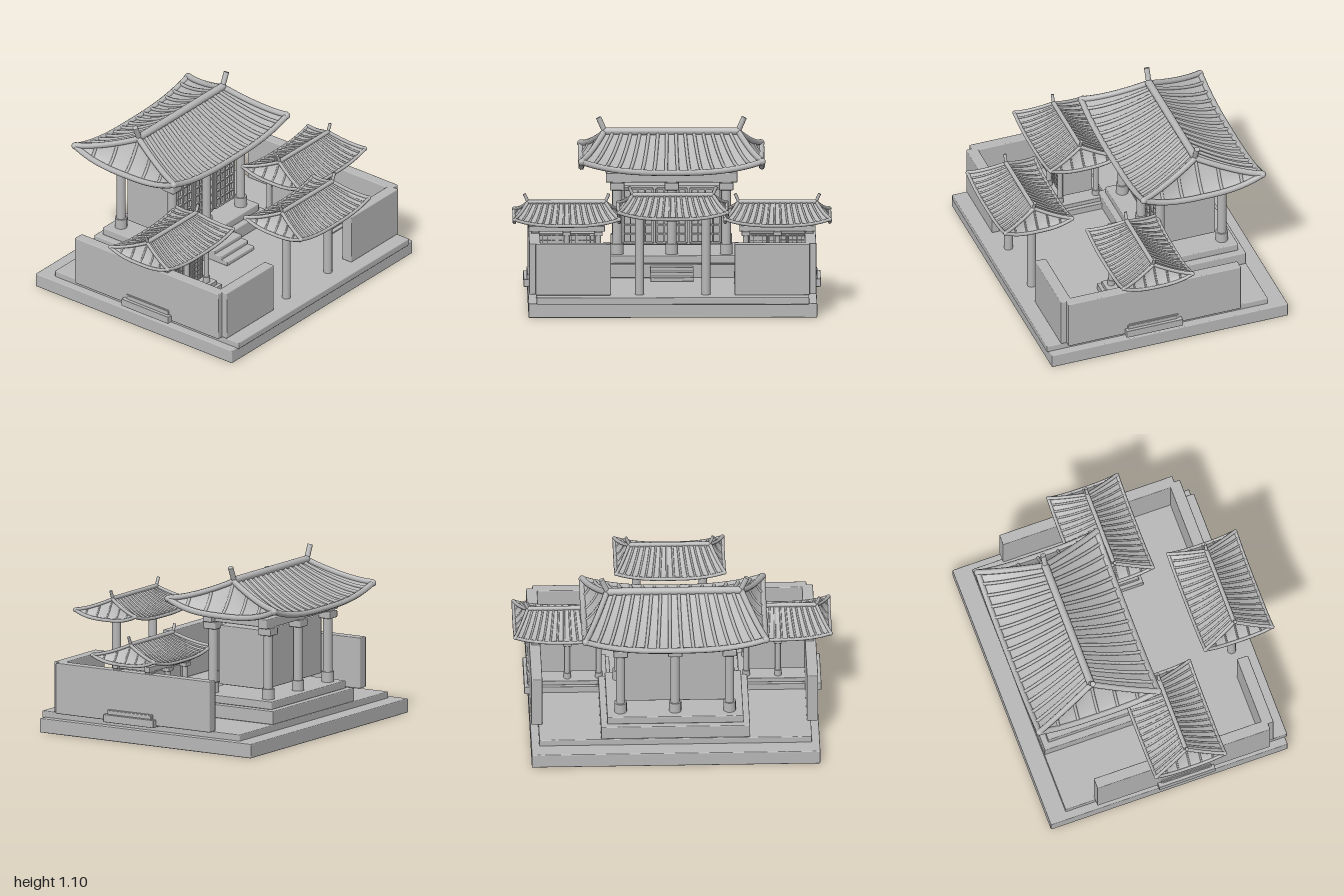
import * as THREE from 'three';
import { RoundedBoxGeometry } from 'three/addons/geometries/RoundedBoxGeometry.js';
import { ParametricGeometry } from 'three/addons/geometries/ParametricGeometry.js';

const stone = new THREE.MeshStandardMaterial({ color: 0xb8b8b8, side: THREE.DoubleSide });
stone.name = 'stone grey';

function add(parent, name, geometry, x = 0, y = 0, z = 0) {
  const mesh = new THREE.Mesh(geometry, stone);
  mesh.name = name;
  mesh.position.set(x, y, z);
  parent.add(mesh);
  return mesh;
}

// Softly rounded block given by its extents
function block(parent, name, x0, x1, y0, y1, z0, z1) {
  const w = x1 - x0, h = y1 - y0, d = z1 - z0;
  const r = Math.min(0.006, w / 5, h / 5, d / 5);
  return add(parent, name, new RoundedBoxGeometry(w, h, d, 1, r), (x0 + x1) / 2, (y0 + y1) / 2, (z0 + z1) / 2);
}

function column(parent, name, x, z, y0, y1, r) {
  return add(parent, name, new THREE.CylinderGeometry(r, r, y1 - y0, 16), x, (y0 + y1) / 2, z);
}

// Tube following a function of t from 0 to 1
function tube(parent, name, at, r, segments = 10) {
  const points = [];
  for (let i = 0; i <= segments; i++) points.push(at(i / segments));
  add(parent, name, new THREE.TubeGeometry(new THREE.CatmullRomCurve3(points), segments * 2, r, 7));
}

// Hipped roof with upturned corners
const RIDGE_X = 0.42, EAVE_X = 0.563, EAVE_Z = 0.395, RIDGE_Y = 0.865, EAVE_Y = 0.672, LIFT = 0.07;
function roofHeight(u, v) {
  const eave = EAVE_Y + LIFT * Math.abs(u) ** 2.8;
  return eave + (RIDGE_Y - eave) * (1 - v) ** 1.5;
}
function longSlope(u, v, s) {
  return new THREE.Vector3(u * THREE.MathUtils.lerp(RIDGE_X, EAVE_X, v), roofHeight(u, v), s * v * EAVE_Z);
}
function endSlope(u, v, s) {
  return new THREE.Vector3(s * THREE.MathUtils.lerp(RIDGE_X, EAVE_X, v), roofHeight(u, v), u * v * EAVE_Z);
}

function makeRoof() {
  const roof = new THREE.Group();
  roof.name = 'roof';
  for (const s of [-1, 1]) {
    for (const [name, slope] of [['longRoofSlope', longSlope], ['endRoofSlope', endSlope]]) {
      const sheet = new ParametricGeometry((a, b, target) => target.copy(slope((a * 2 - 1) * s * (slope === longSlope ? 1 : -1), 1 - b, s)), 24, 12);
      sheet.computeVertexNormals();
      add(roof, name, sheet);
      tube(roof, 'eaveEdge', t => slope(t * 2 - 1, 1, s), 0.019, 16);
    }
    // Fanned tile ribs on the long slopes
    for (let i = 1; i < 15; i++) {
      const u = i / 7.5 - 1;
      tube(roof, 'tileRib', t => longSlope(u, t, s).add(new THREE.Vector3(0, 0.006, 0)), 0.011, 6);
    }
    // Parallel ribs on the end slopes, starting at the hips
    for (let i = -2; i <= 2; i++) {
      const w = i / 3;
      tube(roof, 'endTileRib', t => {
        const v = Math.max(THREE.MathUtils.lerp(Math.abs(w), 1, t), 0.001);
        return endSlope(w / v, v, s);
      }, 0.01, 6);
    }
    // Hips and corner tips
    for (const u of [-1, 1]) {
      tube(roof, 'hipRidge', t => longSlope(u, t, s).add(new THREE.Vector3(0, 0.006, 0)), 0.019);
      add(roof, 'cornerTip', new THREE.SphereGeometry(0.022, 12, 8)).position.copy(longSlope(u, 1, s));
    }
    // Tilted horn at each ridge end
    const horn = add(roof, 'ridgeHorn', new THREE.CylinderGeometry(0.017, 0.017, 0.1, 12), s * 0.434, 0.918, 0);
    horn.rotation.z = -s * 0.42;
  }
  const ridge = add(roof, 'ridge', new THREE.CylinderGeometry(0.024, 0.024, 0.84, 14), 0, 0.876, 0);
  ridge.rotation.z = Math.PI / 2;
  return roof;
}

// Lattice door panel centred on x
function lattice(parent, x) {
  const half = 0.092, y0 = 0.2, y1 = 0.54, z = 0.168;
  for (let i = 0; i <= 4; i++) {
    const bx = x - half + (i / 4) * half * 2, t = i % 4 ? 0.004 : 0.008;
    block(parent, 'latticeUpright', bx - t, bx + t, y0, y1, z, z + 0.018);
  }
  for (let i = 0; i <= 6; i++) {
    const by = y0 + (i / 6) * (y1 - y0), t = i % 6 ? 0.004 : 0.008;
    block(parent, 'latticeRail', x - half, x + half, by - t, by + t, z, z + 0.018);
  }
}

function makeHall(name) {
  const hall = new THREE.Group();
  hall.name = name;
  block(hall, 'lowerPlatform', -0.465, 0.465, 0, 0.085, -0.322, 0.322);
  block(hall, 'upperPlatform', -0.425, 0.425, 0.085, 0.135, -0.285, 0.285);
  for (let i = 0; i < 3; i++) {
    block(hall, 'step', -0.135, 0.135, 0, 0.027 + i * 0.024, 0.3, 0.48 - i * 0.05);
  }
  block(hall, 'walls', -0.325, 0.325, 0.185, 0.56, -0.17, 0.17);
  for (const x of [-0.21, 0, 0.21]) lattice(hall, x);
  // Columns with square feet and stacked brackets
  for (const z of [-0.205, 0.205]) {
    for (const x of [-0.34, 0, 0.34]) {
      column(hall, 'columnFoot', x, z, 0.135, 0.2, 0.039);
      column(hall, 'column', x, z, 0.2, 0.55, 0.029);
      block(hall, 'bracket', x - 0.045, x + 0.045, 0.54, 0.585, z - 0.045, z + 0.045);
      block(hall, 'bracketCap', x - 0.032, x + 0.032, 0.58, 0.625, z - 0.032, z + 0.032);
    }
    block(hall, 'longBeam', -0.41, 0.41, 0.588, 0.648, z - 0.033, z + 0.033);
  }
  for (const x of [-0.34, 0.34]) block(hall, 'crossBeam', x - 0.03, x + 0.03, 0.588, 0.645, -0.238, 0.238);
  hall.add(makeRoof());
  return hall;
}

export function createModel() {
  const model = new THREE.Group();
  model.name = 'courtyardHouse';

  // Terrace
  block(model, 'base', -0.9, 0.9, 0, 0.09, -0.845, 0.725);
  block(model, 'terrace', -0.85, 0.85, 0.085, 0.13, -0.73, 0.74);

  // Perimeter walls and side door sills
  for (const s of [-1, 1]) {
    const side = (name, a, b, ...rest) => block(model, name, Math.min(s * a, s * b), Math.max(s * a, s * b), ...rest);
    side('sideWall', 0.825, 0.895, 0.13, 0.452, -0.535, 0.612);
    side('frontWall', 0.385, 0.855, 0.13, 0.452, 0.575, 0.648);
    side('lowerSill', 0.8, 0.92, 0.12, 0.17, -0.125, 0.235);
    side('upperSill', 0.8, 0.907, 0.168, 0.195, -0.105, 0.22);
  }

  // Main hall and two smaller side pavilions
  const hall = makeHall('mainHall');
  hall.position.set(0, 0.13, -0.405);
  model.add(hall);
  for (const s of [-1, 1]) {
    const pavilion = makeHall('sidePavilion');
    pavilion.scale.setScalar(0.58);
    pavilion.position.set(s * 0.657, 0.122, 0.05);
    model.add(pavilion);
  }

  // Gate: two posts under a small roof
  const gate = new THREE.Group();
  gate.name = 'gate';
  for (const x of [-0.207, 0.207]) column(gate, 'gatePost', x, 0.605, 0.12, 0.665, 0.027);
  const roof = makeRoof();
  roof.scale.set(0.6, 0.6, 0.565);
  roof.position.set(0, 0.232, 0.605);
  gate.add(roof);
  model.add(gate);

  return model;
}
